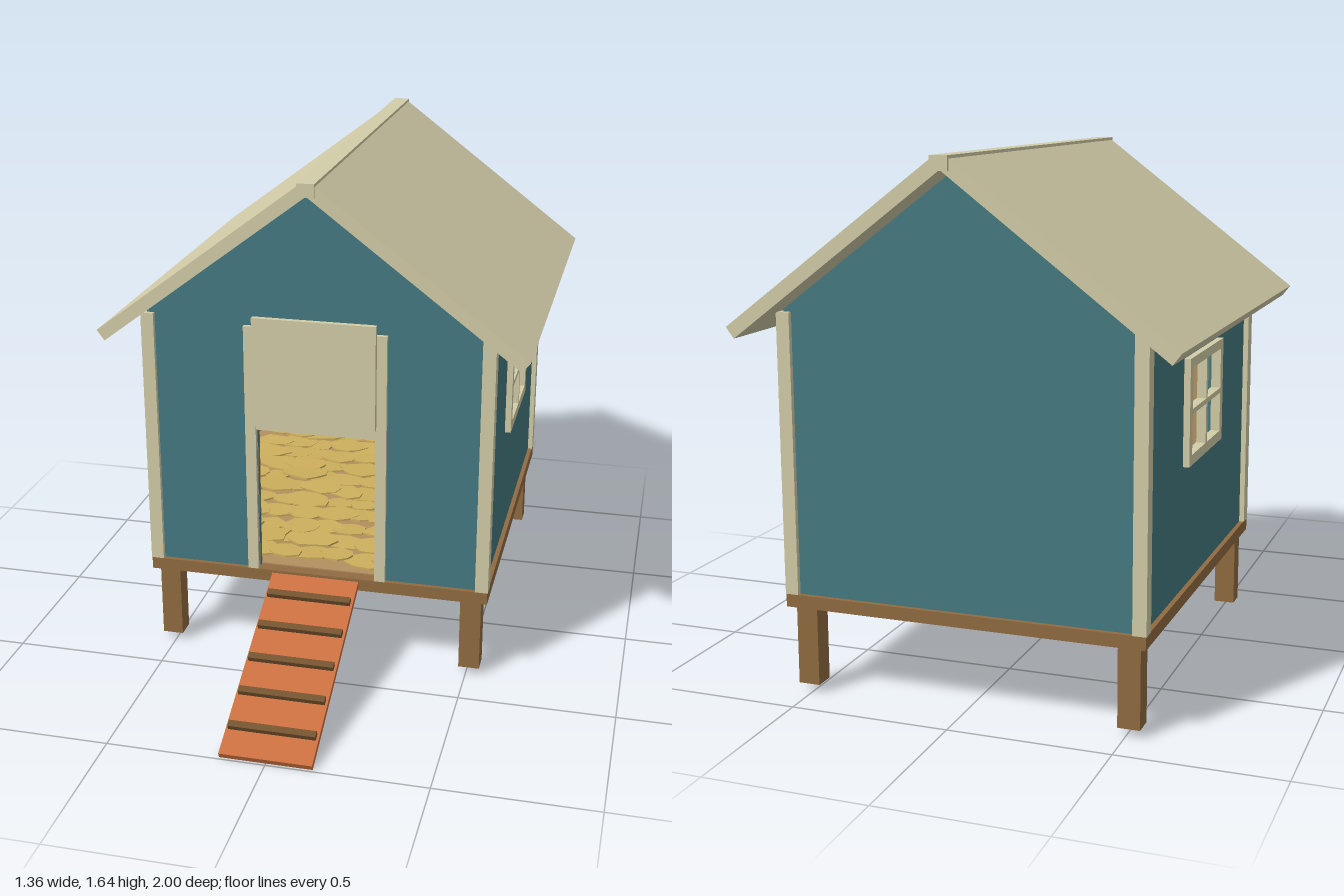
import * as THREE from 'three';

const mat = (name, color, side = THREE.FrontSide) => {
  const m = new THREE.MeshStandardMaterial({ color, side });
  m.name = name;
  return m;
};

export function createModel() {
  const teal = mat('teal paint', 0x457981);
  const cream = mat('cream paint', 0xd2cca8);
  const wood = mat('brown wood', 0x906b41);
  const darkWood = mat('dark wood', 0x755330);
  const tan = mat('tan lining', 0xb39060);
  const orange = mat('orange wood', 0xca6f3f);
  const gold = mat('straw', 0xccae5c);

  const model = new THREE.Group();
  model.name = 'chickenCoop';

  const add = (name, geo, material, parent = model) => {
    const mesh = new THREE.Mesh(geo, material);
    mesh.name = name;
    parent.add(mesh);
    return mesh;
  };
  // Box given by its lower and upper limits on each axis
  const box = (name, material, x0, x1, y0, y1, z0, z1, parent = model) => {
    const mesh = add(name, new THREE.BoxGeometry(x1 - x0, y1 - y0, z1 - z0), material, parent);
    mesh.position.set((x0 + x1) / 2, (y0 + y1) / 2, (z0 + z1) / 2);
    return mesh;
  };
  const outline = (pts) => new THREE.Shape(pts.map(([x, y]) => new THREE.Vector2(x, y)));
  const slab = (shape, depth) => new THREE.ExtrudeGeometry(shape, { depth, bevelEnabled: false });

  // Base platform and legs
  box('floor', wood, -0.565, 0.565, 0.275, 0.315, -0.9, 0.37);
  box('floorLining', tan, -0.53, 0.53, 0.315, 0.319, -0.86, 0.33);
  for (const s of [-1, 1]) {
    for (const z of [0.317, -0.843]) {
      box('leg', wood, s * 0.51 - 0.034, s * 0.51 + 0.034, 0.025, 0.275, z - 0.033, z + 0.033);
    }
  }

  // Gable walls: teal outside, tan lining inside
  const base = 0.315, peak = 1.597, eave = 1.182, halfW = 0.55;
  const gableTop = [[halfW, base], [halfW, eave], [0, peak], [-halfW, eave], [-halfW, base]];
  const frontShape = outline([...gableTop, [-0.195, base], [-0.195, 0.815], [0.195, 0.815], [0.195, base]]);
  const backShape = outline(gableTop);
  add('frontWall', slab(frontShape, 0.024), teal).position.z = 0.331;
  add('frontLining', slab(frontShape, 0.006), tan).position.z = 0.325;
  add('backWall', slab(backShape, 0.024), teal).position.z = -0.885;
  add('backLining', slab(backShape, 0.006), tan).position.z = -0.861;

  // Side walls with window openings, drawn along -z
  const sideShape = outline([[-0.33, base], [0.86, base], [0.86, eave], [-0.33, eave]]);
  const opening = [[0.075, 0.715], [0.455, 0.715], [0.455, 1.015], [0.075, 1.015]];
  sideShape.holes.push(outline(opening));
  const frameShape = outline([[0.06, 0.7], [0.47, 0.7], [0.47, 1.03], [0.06, 1.03]]);
  const panes = [[0.092, 0.257], [0.273, 0.438]];
  for (const [a, b] of panes) {
    for (const [c, d] of [[0.732, 0.857], [0.873, 1.0]]) {
      frameShape.holes.push(outline([[a, c], [b, c], [b, d], [a, d]]));
    }
  }
  for (const s of [-1, 1]) {
    const sidePanel = (name, shape, material, inner, depth) => {
      const mesh = add(name, slab(shape, depth), material);
      mesh.rotation.y = Math.PI / 2;
      mesh.position.x = s > 0 ? inner : -inner - depth;
    };
    sidePanel('sideWall', sideShape, teal, 0.526, 0.024);
    sidePanel('sideLining', sideShape, tan, 0.52, 0.006);
    sidePanel('windowFrame', frameShape, cream, 0.54, 0.03);

    // Corner boards
    const [x0, x1] = s > 0 ? [0.525, 0.567] : [-0.567, -0.525];
    box('cornerBoard', cream, x0, x1, base, 1.175, 0.32, 0.37);
    box('cornerBoard', cream, x0, x1, base, 1.175, -0.9, -0.855);

    // Door rails
    box('doorRail', cream, s > 0 ? 0.195 : -0.23, s > 0 ? 0.23 : -0.195, base, 1.155, 0.345, 0.37);

    // Roof slope
    const pts = [[0, 1.6], [0.655, 1.105], [0.68, 1.138], [0.02, 1.636], [0, 1.636]];
    add('roofSlope', slab(outline(pts.map(([x, y]) => [s * x, y])), 1.45), cream).position.z = -0.99;
  }
  box('ridgeCap', cream, -0.027, 0.027, 1.598, 1.64, -1.0, 0.465);

  // Raised sliding door and the strip under it
  box('slidingDoor', cream, -0.198, 0.198, 0.845, 1.19, 0.37, 0.388);
  box('doorHeader', cream, -0.195, 0.195, 0.81, 0.838, 0.34, 0.368);

  // Ramp with cleats
  const ramp = new THREE.Group();
  ramp.name = 'ramp';
  ramp.position.set(0, 0.156, 0.686);
  ramp.rotation.x = 0.444;
  model.add(ramp);
  box('rampBoard', orange, -0.145, 0.145, -0.01, 0.01, -0.342, 0.342, ramp);
  for (let i = -2; i <= 2; i++) {
    const z = i * 0.1246 - 0.005;
    box('rampCleat', darkWood, -0.137, 0.137, 0.01, 0.028, z - 0.011, z + 0.011, ramp);
  }

  // Nest boxes along the back wall, and a perch
  const nest = new THREE.Group();
  nest.name = 'nestBoxes';
  model.add(nest);
  box('nestShelf', wood, -0.52, 0.52, 0.54, 0.56, -0.855, -0.5, nest);
  box('nestFront', wood, -0.52, 0.52, 0.54, 0.66, -0.52, -0.5, nest);
  box('nestRail', wood, -0.52, 0.52, 0.785, 0.815, -0.52, -0.5, nest);
  for (const x of [-0.51, -0.175, 0.175, 0.51]) {
    box('nestDivider', wood, x - 0.01, x + 0.01, 0.56, 0.8, -0.855, -0.505, nest);
  }
  box('perch', darkWood, -0.52, 0.52, 0.685, 0.707, -0.44, -0.415);

  // Straw tufts scattered over the floor
  let seed = 7;
  const rand = () => (seed = (seed * 16807) % 2147483647) / 2147483647;
  const straw = new THREE.Group();
  straw.name = 'strawBedding';
  model.add(straw);
  for (let i = 0; i < 10; i++) {
    for (let j = 0; j < 11; j++) {
      const pts = [];
      const r = 0.05 + rand() * 0.025;
      for (let k = 0; k < 9; k++) {
        const a = (k / 9) * Math.PI * 2, q = r * (0.75 + rand() * 0.4);
        pts.push([Math.cos(a) * q * 1.2, Math.sin(a) * q * 0.85]);
      }
      const tuft = add('strawTuft', slab(outline(pts), 0.006), gold, straw);
      tuft.rotation.x = -Math.PI / 2 + (rand() - 0.5) * 0.1;
      tuft.position.set(-0.43 + i * 0.0955 + (rand() - 0.5) * 0.03, 0.32 + rand() * 0.012,
        -0.78 + j * 0.103 + (rand() - 0.5) * 0.03);
    }
  }
  return model;
}
